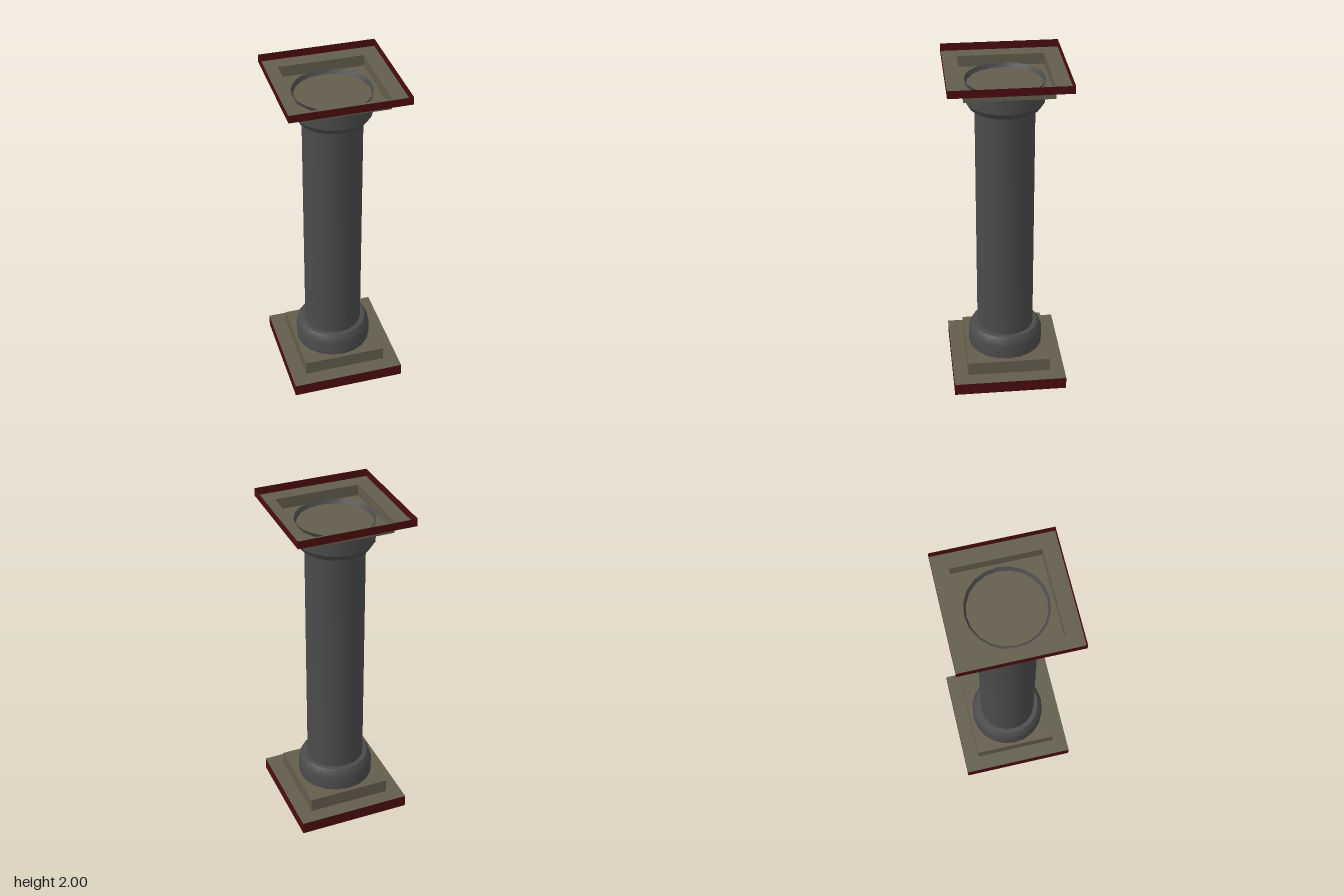
import * as THREE from 'three';
import { toCreasedNormals } from 'three/addons/utils/BufferGeometryUtils.js';

const SIDES = 20;
const AXIS_X = -0.007; // the round parts sit slightly off centre

export function createModel() {
  const model = new THREE.Group();
  const material = (name, color) =>
    new THREE.MeshStandardMaterial({ name, color, side: THREE.DoubleSide });
  const stone = material('darkStone', 0x4b4b4b);
  const olive = material('oliveStone', 0x625d4c);
  const red = material('darkRed', 0x4c0c0f);

  const add = (name, geometry, mat, y = 0, x = 0) => {
    const mesh = new THREE.Mesh(geometry, mat);
    mesh.name = name;
    mesh.position.set(x, y, 0);
    model.add(mesh);
  };

  // Four upright walls, open above and below
  const walls = (name, half, y0, y1, mat) => {
    const r = half * Math.SQRT2;
    const g = new THREE.CylinderGeometry(r, r, y1 - y0, 4, 1, true).rotateY(Math.PI / 4);
    add(name, toCreasedNormals(g, 0.5), mat, (y0 + y1) / 2);
  };

  // Flat square frame; tilt sets whether it faces up (-1) or down (1)
  const ledge = (name, inner, outer, y, tilt) => {
    const g = new THREE.RingGeometry(inner * Math.SQRT2, outer * Math.SQRT2, 4, 1, Math.PI / 4);
    add(name, g.rotateX(tilt * Math.PI / 2), olive, y);
  };

  const plate = (name, half, y, tilt) =>
    add(name, new THREE.PlaneGeometry(half * 2, half * 2).rotateX(tilt * Math.PI / 2), olive, y);

  // Round part from a profile listed bottom to top
  const turned = (name, profile) => {
    const points = profile.map(([r, y]) => new THREE.Vector2(r, y));
    add(name, toCreasedNormals(new THREE.LatheGeometry(points, SIDES), 0.5), stone, 0, AXIS_X);
  };

  // Hollow stepped base
  walls('basePlinthWalls', 0.34, 0, 0.075, red);
  ledge('baseLedge', 0.25, 0.34, 0.075, -1);
  walls('baseStepWalls', 0.25, 0.075, 0.16, olive);
  plate('baseStepTop', 0.25, 0.16, -1);

  // Shaft with its foot and capital; each has a small lip inside the hollow step
  turned('foot', [[0.228, 0.14], [0.215, 0.16], [0.227, 0.16], [0.227, 0.245],
    [0.218, 0.275], [0.2, 0.298], [0.17, 0.298]]);
  turned('shaft', [[0.172, 0.28], [0.172, 1.77]]);
  turned('capital', [[0.17, 1.755], [0.205, 1.755], [0.227, 1.79], [0.227, 1.89],
    [0.215, 1.89], [0.228, 1.915]]);

  // Hollow stepped top, open upwards
  plate('topStepFloor', 0.25, 1.89, 1);
  walls('topStepWalls', 0.25, 1.89, 1.955, olive);
  ledge('topLedge', 0.25, 0.34, 1.955, 1);
  walls('topSlabWalls', 0.34, 1.955, 2, red);

  return model;
}
